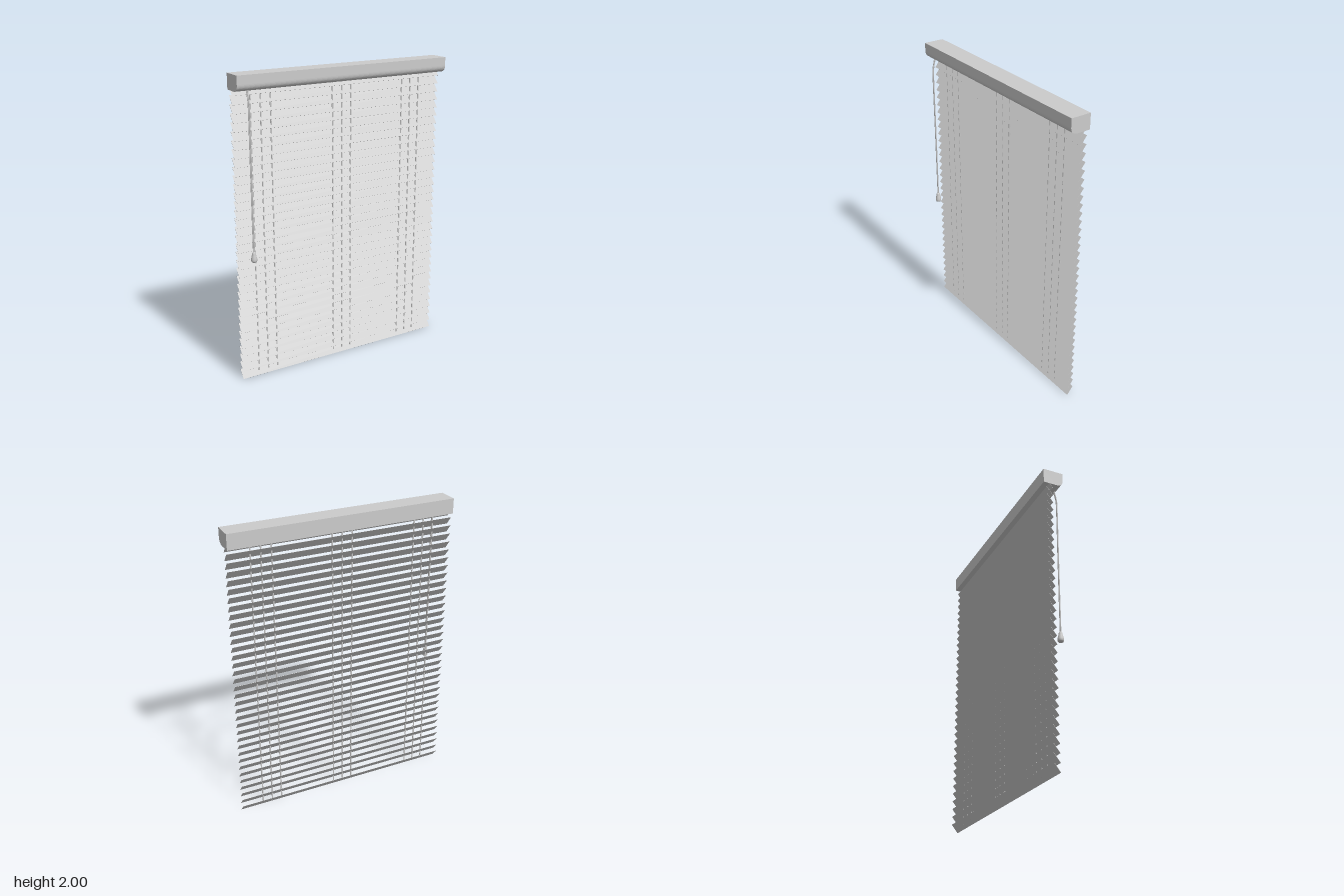
import * as THREE from 'three';

export function createModel() {
  const group = new THREE.Group();
  const mat = new THREE.MeshStandardMaterial({ color: 0xcccccc, side: THREE.DoubleSide });
  const flatMat = new THREE.MeshStandardMaterial({ color: 0xcccccc, flatShading: true });
  const WIDTH = 1.523;

  const add = (name, geometry, material = mat) => {
    const mesh = new THREE.Mesh(geometry, material);
    mesh.name = name;
    group.add(mesh);
    return mesh;
  };

  // Head rail: side profile (shape x = z, shape y = y) with a rounded lower front edge
  const profile = new THREE.Shape();
  profile.moveTo(-0.073, 2);
  profile.lineTo(-0.073, 1.9);
  profile.lineTo(0.015, 1.9);
  profile.bezierCurveTo(0.044, 1.9, 0.063, 1.915, 0.063, 1.945);
  profile.lineTo(0.063, 2);
  profile.closePath();
  const railGeo = new THREE.ExtrudeGeometry(profile, { depth: WIDTH, bevelEnabled: false, curveSegments: 12 });
  railGeo.rotateY(-Math.PI / 2); // profile x -> +z, extrusion -> -x
  railGeo.translate(WIDTH / 2, 0, 0);
  add('headRail', railGeo);

  // Slats: tilted with the front edge low and the back edge high
  const PITCH = 0.055, RISE = 0.055, DEPTH = 0.043;
  const slatGeo = new THREE.BoxGeometry(WIDTH, 0.0015, Math.hypot(RISE, DEPTH));
  slatGeo.rotateX(Math.atan2(RISE, DEPTH));
  const slats = new THREE.Group();
  slats.name = 'slats';
  for (let i = 0; i < 35; i++) {
    const slat = new THREE.Mesh(slatGeo, flatMat);
    slat.name = 'slat';
    slat.position.set(0, RISE / 2 + i * PITCH, -0.032);
    slats.add(slat);
  }
  group.add(slats);

  // Ladder cords: three sets of three
  const cordGeo = new THREE.CylinderGeometry(0.005, 0.005, 1.88, 8);
  for (const centre of [-0.57, 0.005, 0.54]) {
    for (const offset of [-0.068, 0, 0.068]) {
      add('ladderCord', cordGeo).position.set(centre + offset, 0.965, -0.027);
    }
  }

  // Pull cord: a pair of strands leaving the rail and hanging in front
  const X = -0.686, Z = 0.054;
  for (const side of [-1, 1]) {
    const path = new THREE.CatmullRomCurve3([
      [0.037, 1.91], [0.043, 1.88], [0.052, 1.845], [Z, 1.82], [Z, 1.4], [Z, 0.885],
    ].map(([z, y]) => new THREE.Vector3(X + side * 0.0035, y, z)));
    add('pullCord', new THREE.TubeGeometry(path, 40, 0.0035, 6));
  }

  // Pull tassel
  const tassel = [
    [0, 0.832], [0.016, 0.832], [0.0195, 0.84], [0.0195, 0.852],
    [0.015, 0.872], [0.012, 0.882], [0.012, 0.89], [0.008, 0.897], [0, 0.897],
  ].map(([r, y]) => new THREE.Vector2(r, y));
  add('tassel', new THREE.LatheGeometry(tassel, 16)).position.set(X, 0, Z);

  return group;
}
